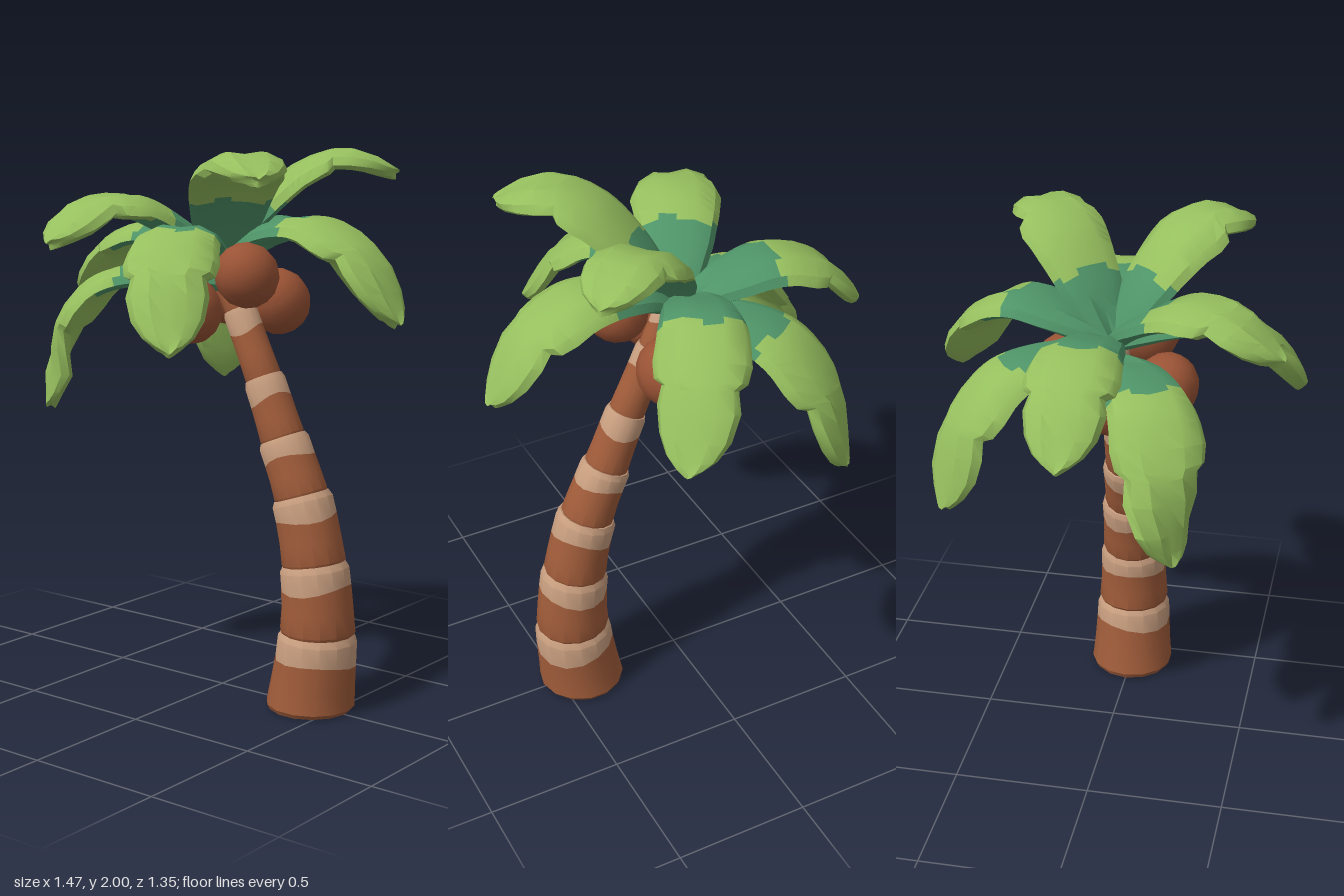
import * as THREE from 'three';
import { toCreasedNormals } from 'three/addons/utils/BufferGeometryUtils.js';

const V = (x, y, z) => new THREE.Vector3(x, y, z);
const paint = (name, color) => Object.assign(new THREE.MeshStandardMaterial({ color }), { name });

// Skin a list of equal rings and close both ends; isSecond(i, j) picks the second material
function loft(rings, crease, isSecond) {
  const n = rings[0].length;
  const faces = [[], []];
  const tri = (k, a, b, c) => [a, b, c].forEach(p => faces[k].push(p.x, p.y, p.z));
  const middle = ring => ring.reduce((s, p) => s.add(p), V(0, 0, 0)).divideScalar(n);
  const last = rings.length - 1;
  const start = middle(rings[0]), end = middle(rings[last]);
  for (let j = 0; j < n; j++) {
    const k = (j + 1) % n;
    for (let i = 0; i < last; i++) {
      const m = isSecond(i, j) ? 1 : 0;
      tri(m, rings[i][j], rings[i + 1][j], rings[i + 1][k]);
      tri(m, rings[i][j], rings[i + 1][k], rings[i][k]);
    }
    tri(0, start, rings[0][j], rings[0][k]);
    tri(1, end, rings[last][k], rings[last][j]);
  }
  const geo = new THREE.BufferGeometry();
  geo.setAttribute('position', new THREE.Float32BufferAttribute(faces[0].concat(faces[1]), 3));
  geo.addGroup(0, faces[0].length / 3, 0);
  geo.addGroup(faces[0].length / 3, faces[1].length / 3, 1);
  return toCreasedNormals(geo, crease);
}

// Linear lookup in [t, value] pairs
function lookup(table, t) {
  for (let i = 1; i < table.length; i++) {
    const [t0, v0] = table[i - 1], [t1, v1] = table[i];
    if (t <= t1) return v0 + (v1 - v0) * (t - t0) / (t1 - t0);
  }
  return table[table.length - 1][1];
}

// Half width along a frond, with a notch before the tip lobe
const FROND_WIDTH = [[0, 0.05], [0.12, 0.095], [0.28, 0.13], [0.45, 0.152], [0.6, 0.165], [0.67, 0.155],
  [0.7, 0.127], [0.78, 0.14], [0.88, 0.122], [0.95, 0.086], [0.985, 0.05], [1, 0.022]];
const STATIONS = [0, 0.12, 0.2, 0.24, 0.27, 0.3, 0.33, 0.36, 0.39, 0.42, 0.45, 0.48, 0.52, 0.6, 0.67, 0.7, 0.78, 0.88, 0.95, 0.985, 1];
// Cross-section: [side, height], upper face first
const SECTION = [[-1, -0.012], [-0.88, 0.01], [-0.45, 0.018], [0, 0.004], [0.45, 0.018], [0.88, 0.01], [1, -0.012],
  [0.82, -0.038], [0.4, -0.052], [0, -0.056], [-0.4, -0.052], [-0.82, -0.038]];

function frond(points, darkEnd, materials) {
  const curve = new THREE.CatmullRomCurve3(points.map(p => V(...p)));
  const rings = STATIONS.map(t => {
    const c = curve.getPointAt(t);
    const dir = curve.getTangentAt(t);
    const side = V(0, 1, 0).cross(dir).normalize();
    const normal = dir.clone().cross(side);
    const w = lookup(FROND_WIDTH, t);
    const thick = t > 0.9 ? 0.4 + w * 4 : 0.75 + w * 2;
    return SECTION.map(([s, h]) => c.clone()
      .addScaledVector(side, s * w)
      .addScaledVector(normal, h * thick - 1.8 * (s * w) ** 2)
      .addScaledVector(dir, -0.02 * s * s));
  });
  // Ragged edge between the two greens; the dark base reaches further underneath
  const geo = loft(rings, 0.6, (i, j) =>
    STATIONS[i] + ((j * 5) % 3 - 1) * 0.018 >= darkEnd + (j >= 6 ? 0.08 : 0));
  return new THREE.Mesh(geo, materials);
}

function trunk(materials) {
  const group = new THREE.Group();
  group.name = 'trunk';
  const joints = [[0.405, 0], [0.435, 0.28], [0.417, 0.53], [0.36, 0.77], [0.277, 0.97], [0.19, 1.18], [0.08, 1.42], [0.02, 1.56]];
  const path = new THREE.CatmullRomCurve3(joints.map(([x, y]) => V(x, y, 0)));
  const radii = [[0.163, 0.14], [0.138, 0.123], [0.118, 0.11], [0.1, 0.092], [0.083, 0.075], [0.067, 0.062], [0.055, 0.05]];
  const SIDES = 14;
  radii.forEach(([r0, r1], k) => {
    const steps = [[0, 0.93], [0.06, 1], [0.36, 0.99], [0.67, 1], [0.94, 1.02], [1.03, 0.93]];
    const rings = steps.map(([s, scale], i) => {
      const t = Math.min((k + s) / radii.length, 1);
      const c = path.getPoint(t);
      const dir = path.getTangent(t).lerp(V(0, 1, 0), Math.max(0, 1 - t * 12)).normalize();
      const across = V(dir.y, -dir.x, 0);
      const r = (r0 + (r1 - r0) * s) * scale;
      return Array.from({ length: SIDES }, (_, j) => {
        const a = j / SIDES * Math.PI * 2;
        const wave = i === 3 ? 0.012 * Math.sin(2 * a + k * 1.7) : 0;
        return c.clone().addScaledVector(across, r * Math.cos(a))
          .addScaledVector(dir, wave).add(V(0, 0, r * Math.sin(a)));
      });
    });
    const mesh = new THREE.Mesh(loft(rings, 0.6, i => i >= 3), materials);
    mesh.name = 'trunkSegment' + (k + 1);
    group.add(mesh);
  });
  return group;
}

export function createModel() {
  const model = new THREE.Group();
  model.name = 'palmTree';
  const bark = paint('bark brown', 0xa05c3a);
  const ring = paint('ring tan', 0xc79d7e);
  const husk = paint('husk brown', 0x9a5335);
  const darkLeaf = paint('dark green', 0x4f9468);
  const lightLeaf = paint('light green', 0x96bf5e);

  model.add(trunk([bark, ring]));

  // Fronds: name, midline from crown to tip, where the dark base ends
  const fronds = [
    ['leftFrond', [[0, 1.6, -0.02], [0.18, 1.72, -0.04], [0.4, 1.75, -0.05], [0.6, 1.64, -0.05], [0.73, 1.41, -0.05]], 0.37],
    ['rightFrond', [[0, 1.6, -0.02], [-0.17, 1.67, -0.04], [-0.37, 1.71, -0.05], [-0.57, 1.63, -0.05], [-0.73, 1.43, -0.05]], 0.43],
    ['frontMiddleFrond', [[0, 1.6, 0], [-0.08, 1.73, 0.13], [-0.17, 1.83, 0.3], [-0.24, 1.81, 0.47], [-0.27, 1.68, 0.63]], 0.36],
    ['frontLowFrond', [[0, 1.53, 0], [-0.2, 1.57, 0.12], [-0.4, 1.53, 0.22], [-0.54, 1.34, 0.28], [-0.58, 1.04, 0.315]], 0.37],
    ['backLowFrond', [[0, 1.56, 0], [-0.13, 1.6, -0.17], [-0.26, 1.56, -0.35], [-0.36, 1.38, -0.48], [-0.41, 1.08, -0.53]], 0.4],
  ];
  // Mirrored front and back pairs on the left half of the crown
  for (const [end, m] of [['front', 1], ['back', -1]]) {
    fronds.push([end + 'HighFrond', [[0, 1.6, 0], [0.08, 1.78, 0.08 * m], [0.21, 1.945, 0.2 * m], [0.35, 1.985, 0.31 * m], [0.48, 1.91, 0.42 * m]], 0.31]);
    fronds.push([end + 'DroopingFrond', [[0, 1.6, 0], [0.01, 1.69, 0.16 * m], [0.07, 1.73, 0.34 * m], [0.18, 1.61, 0.52 * m], [0.29, 1.35, 0.65 * m]], 0.42]);
  }
  for (const [name, points, darkEnd] of fronds) {
    const mesh = frond(points, darkEnd, [darkLeaf, lightLeaf]);
    mesh.name = name;
    model.add(mesh);
  }

  // Coconuts: position and radius
  const nutGeo = new THREE.SphereGeometry(1, 14, 10);
  [[-0.165, 1.44, 0.03, 0.12], [0, 1.435, 0.19, 0.117], [0.11, 1.44, -0.19, 0.12],
    [0.18, 1.56, 0.09, 0.115], [-0.09, 1.455, -0.17, 0.115]].forEach(([x, y, z, r], i) => {
    const nut = new THREE.Mesh(nutGeo, husk);
    nut.name = 'coconut' + (i + 1);
    nut.position.set(x, y, z);
    nut.scale.set(r, r * 1.06, r);
    nut.rotation.set(0.3 * i, i, 0.2);
    model.add(nut);
  });
  return model;
}
